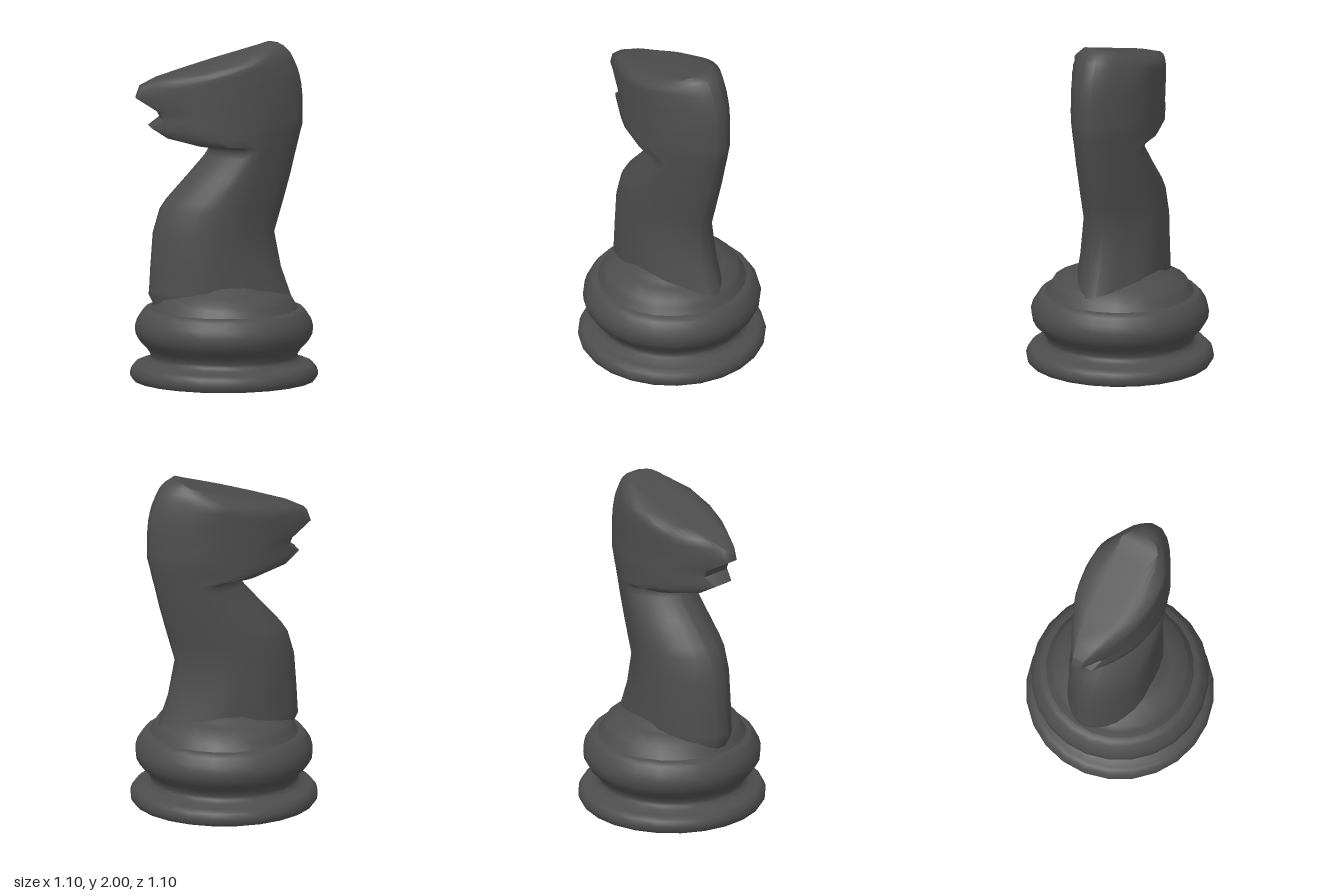
import * as THREE from 'three';
import { toCreasedNormals } from 'three/addons/utils/BufferGeometryUtils.js';

// Piecewise-linear lookup in a short list of [input, output] pairs
function lookup(table, v) {
  if (v <= table[0][0]) return table[0][1];
  for (let i = 1; i < table.length; i++) {
    const [a, p] = table[i - 1], [b, q] = table[i];
    if (v <= b) return p + (q - p) * (v - a) / (b - a);
  }
  return table[table.length - 1][1];
}

// Half thickness of the head by x, and of chest and nape by distance from their edge
const headTaper = [[-0.52, 0.03], [-0.44, 0.08], [-0.35, 0.13], [-0.2, 0.2], [-0.1, 0.225], [0, 0.235]];
const chestTaper = [[0, 0.035], [0.02, 0.075], [0.05, 0.115], [0.1, 0.16], [0.2, 0.215], [0.28, 0.235]];
const napeTaper = [[0, 0.03], [0.02, 0.065], [0.05, 0.1], [0.1, 0.135], [0.16, 0.17], [0.23, 0.21], [0.32, 0.235]];

// Horizontal slices: [y, front x, back x]
const neck = [
  [0.42, -0.42, 0.43], [0.46, -0.42, 0.41], [0.51, -0.445, 0.39], [0.54, -0.442, 0.38],
  [0.67, -0.435, 0.335], [0.88, -0.42, 0.295], [1.02, -0.38, 0.335], [1.08, -0.34, 0.352],
  [1.22, -0.215, 0.39], [1.34, -0.11, 0.418], [1.375, -0.09, 0.427], [1.4, -0.11, 0.433],
];
// Head slices add the bluntness of the front edge
const head = [
  [1.415, -0.17, 0.437, 0.65], [1.46, -0.35, 0.447, 0.8], [1.52, -0.445, 0.463, 0.75],
  [1.565, -0.375, 0.463, 0.75], [1.61, -0.395, 0.463, 0.8], [1.69, -0.525, 0.463, 1],
  [1.76, -0.5, 0.457, 0.8], [1.805, -0.4, 0.448, 0.6], [1.85, -0.235, 0.436, 0.45],
  [1.9, -0.055, 0.415, 0.4], [1.95, 0.125, 0.39, 0.45], [1.98, 0.235, 0.36, 0.8],
  [2.0, 0.275, 0.325, 0.9],
];

// Half thickness at x of one slice
function thickness([, xf, xb, blunt], x) {
  const back = lookup(napeTaper, xb - x);
  if (blunt === undefined) return Math.min(lookup(chestTaper, x - xf), back);
  const u = Math.min(1, (x - xf) / 0.24);
  return Math.min(lookup(headTaper, x), back) * (blunt + (1 - blunt) * Math.sqrt(u * (2 - u)));
}

function horseGeometry() {
  const slices = [...neck, ...head];
  const n = 18, ring = 2 * n, pos = [], index = [];
  for (const slice of slices) {
    const [y, xf, xb] = slice, side = [];
    for (let i = 0; i < n; i++) {
      const x = xf + (xb - xf) * (1 - Math.cos(Math.PI * i / (n - 1))) / 2;
      side.push([x, thickness(slice, x)]);
    }
    for (const [x, w] of side) pos.push(x, y, w);
    for (const [x, w] of side.reverse()) pos.push(x, y, -w);
  }
  for (let k = 0; k < slices.length - 1; k++) {
    for (let j = 0; j < ring; j++) {
      const a = k * ring + j, b = k * ring + (j + 1) % ring;
      index.push(a, b, b + ring, a, b + ring, a + ring);
    }
  }
  // Crown cap
  const top = (slices.length - 1) * ring, centre = pos.length / 3;
  pos.push(0.3, 2.0, 0);
  for (let j = 0; j < ring; j++) index.push(centre, top + j, top + (j + 1) % ring);

  const g = new THREE.BufferGeometry();
  g.setAttribute('position', new THREE.Float32BufferAttribute(pos, 3));
  g.setIndex(index);
  return toCreasedNormals(g, 1.1);
}

function turned(profile) {
  const points = profile.map(([r, y]) => new THREE.Vector2(r, y));
  return toCreasedNormals(new THREE.LatheGeometry(points, 24, Math.PI / 24), 1);
}

export function createModel() {
  const model = new THREE.Group();
  const material = new THREE.MeshStandardMaterial({ color: 0x4d4d4d });
  const add = (name, geometry) => {
    const mesh = new THREE.Mesh(geometry, material);
    mesh.name = name;
    model.add(mesh);
  };

  // Flat foot with a rounded rim
  add('foot', turned([[0, 0], [0.54, 0], [0.553, 0.02], [0.556, 0.045], [0.545, 0.075],
    [0.525, 0.095], [0.48, 0.1]]));

  // Waist and bulging collar
  add('collar', turned([[0.51, 0.098], [0.46, 0.112], [0.437, 0.13], [0.435, 0.15], [0.46, 0.19],
    [0.5, 0.23], [0.522, 0.27], [0.527, 0.315], [0.515, 0.36], [0.487, 0.405], [0.467, 0.425], [0.42, 0.427]]));

  // Low shoulder under the neck
  add('shoulder', turned([[0.44, 0.425], [0.415, 0.465], [0.395, 0.5], [0.31, 0.533],
    [0.265, 0.55], [0.24, 0.575], [0.2, 0.578], [0, 0.578]]));

  // Neck and head
  add('horse', horseGeometry());
  return model;
}
